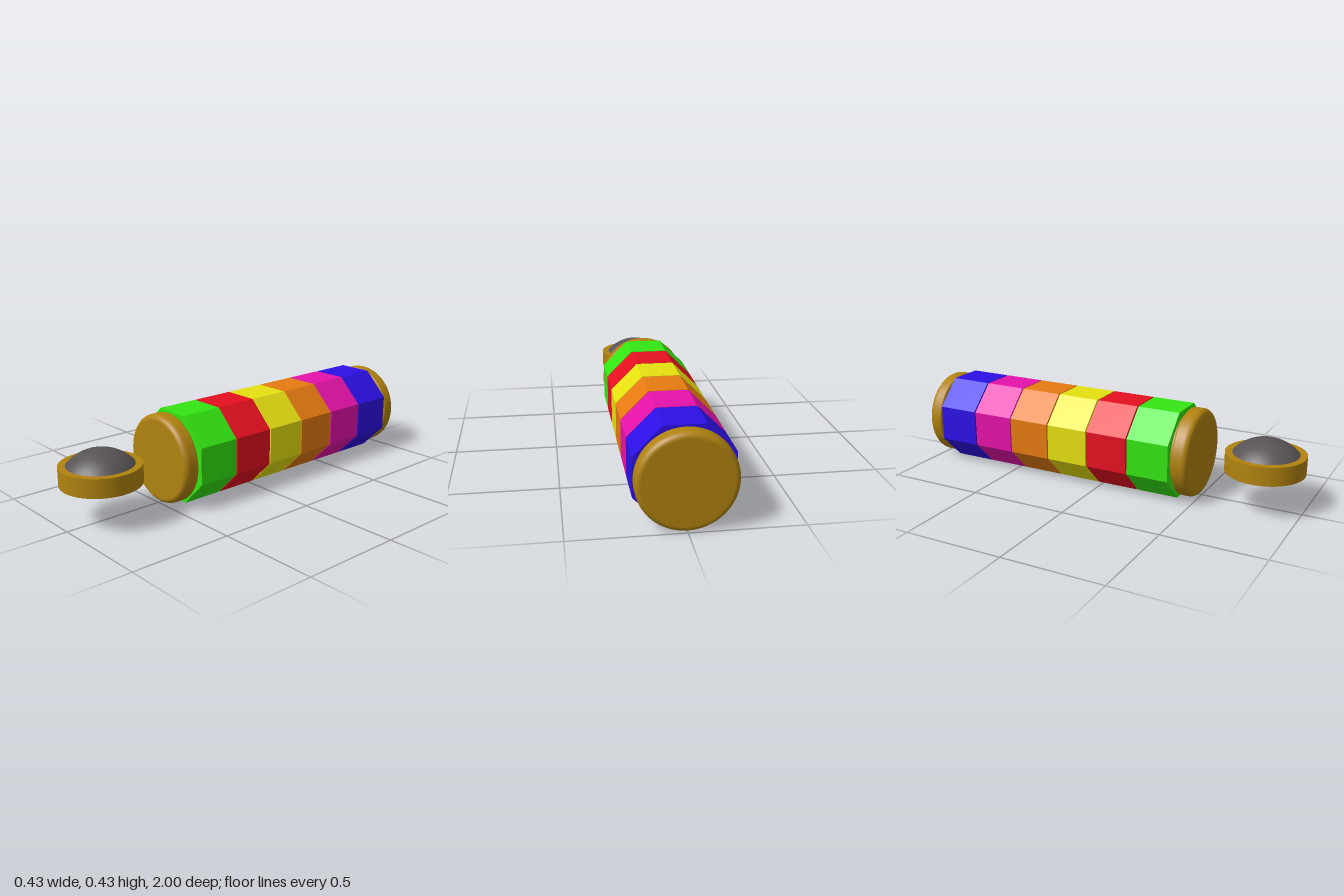
import * as THREE from 'three';

const AXIS_Y = 0.22;   // height of the barrel axis
const APOTHEM = 0.217; // half width of the octagonal rings

const GOLD = new THREE.MeshStandardMaterial({ color: 0xb0820f });

function addMesh(parent, name, geometry, material) {
  const mesh = new THREE.Mesh(geometry, material);
  mesh.name = name;
  parent.add(mesh);
  return mesh;
}

// Round end cap: flat face, large outer rounding, small inner rounding
function capGeometry() {
  const pts = [[0, 0], [0.195, 0], [0.205, 0]];
  for (let i = 0; i <= 4; i++) {
    const a = -Math.PI / 2 + (i / 4) * (Math.PI / 2);
    pts.push([0.207 + 0.01 * Math.cos(a), 0.01 + 0.01 * Math.sin(a)]);
  }
  for (let i = 0; i <= 8; i++) {
    const a = (i / 8) * (Math.PI / 2);
    pts.push([0.192 + 0.025 * Math.cos(a), 0.047 + 0.03 * Math.sin(a)]);
  }
  pts.push([0.18, 0.077], [0, 0.077]);
  return new THREE.LatheGeometry(pts.map(([r, y]) => new THREE.Vector2(r, y)), 64);
}

export function createModel() {
  const model = new THREE.Group();
  model.name = 'combinationCylinder';

  // Barrel: everything that sits on the long axis, modelled along z
  const barrel = new THREE.Group();
  barrel.name = 'barrel';
  barrel.position.y = AXIS_Y;
  model.add(barrel);

  // Inner shaft, visible in the gaps between rings and caps
  const shaft = addMesh(barrel, 'shaft', new THREE.CylinderGeometry(0.19, 0.19, 1.38, 64), GOLD);
  shaft.rotation.x = Math.PI / 2;
  shaft.position.z = -0.252;

  // Six octagonal dial rings with a round bore
  const octagon = new THREE.Shape();
  const R = APOTHEM / Math.cos(Math.PI / 8);
  for (let i = 0; i < 8; i++) {
    const a = Math.PI / 8 + (i * Math.PI) / 4;
    octagon[i ? 'lineTo' : 'moveTo'](R * Math.cos(a), R * Math.sin(a));
  }
  octagon.closePath();
  octagon.holes.push(new THREE.Path().absarc(0, 0, 0.188, 0, Math.PI * 2, true));
  const ringGeometry = new THREE.ExtrudeGeometry(octagon, {
    depth: 0.214, bevelEnabled: false, curveSegments: 24,
  });
  const rings = [
    ['green', 0x33e612], ['red', 0xe61020], ['yellow', 0xe6e010],
    ['orange', 0xe67a10], ['magenta', 0xe612aa], ['blue', 0x2c10e6],
  ];
  rings.forEach(([name, color], i) => {
    const material = new THREE.MeshStandardMaterial({ color, flatShading: true });
    const ring = addMesh(barrel, name + 'Ring', ringGeometry, material);
    ring.position.z = 0.193 - i * 0.2206;
  });

  // End caps, mirrored by rotation
  const cap = capGeometry();
  const frontCap = addMesh(barrel, 'frontCap', cap, GOLD);
  frontCap.rotation.x = Math.PI / 2;
  frontCap.position.z = 0.421;
  const backCap = addMesh(barrel, 'backCap', cap, GOLD);
  backCap.rotation.x = -Math.PI / 2;
  backCap.position.z = -0.923;

  // Separate button in front of the barrel: gold disc with a dark dome
  const button = new THREE.Group();
  button.name = 'button';
  button.position.set(0, 0.187, 0.81);
  model.add(button);

  const disc = addMesh(button, 'buttonDisc', new THREE.CylinderGeometry(0.19, 0.19, 0.09, 64), GOLD);
  disc.position.y = 0.045;

  const chord = 0.156, rise = 0.07;
  const radius = (chord * chord + rise * rise) / (2 * rise);
  const dome = addMesh(
    button, 'buttonDome',
    new THREE.SphereGeometry(radius, 48, 16, 0, Math.PI * 2, 0, Math.asin(chord / radius)),
    new THREE.MeshStandardMaterial({ color: 0x585354 }),
  );
  dome.position.y = 0.09 + rise - radius;

  return model;
}
